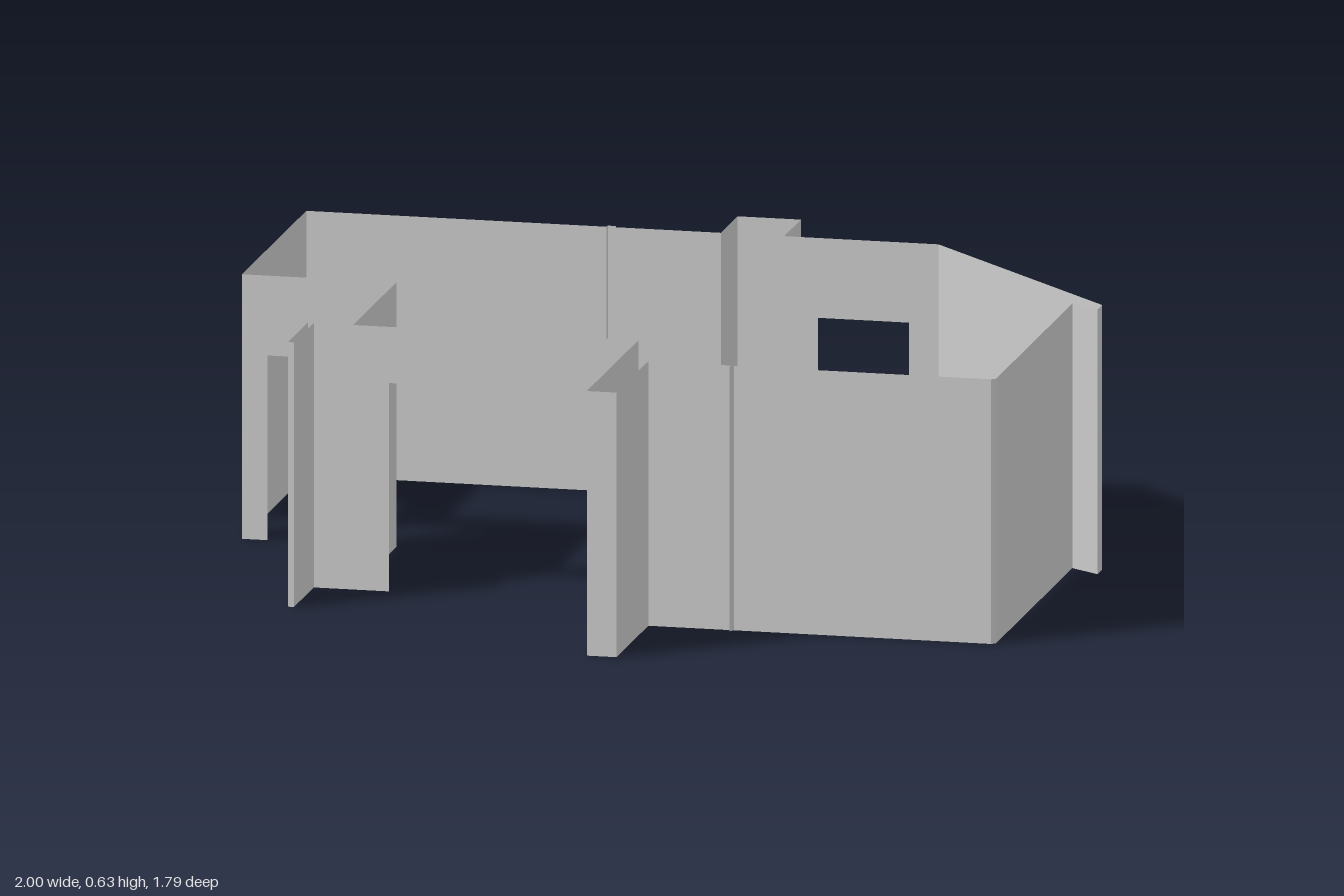
import * as THREE from 'three';

const H = 0.626;      // wall height
const DOOR = 0.437;   // door height
const BEAM = 0.493;   // underside of the wide lintel
const SILL = 0.155;   // top of the window sill

const material = new THREE.MeshStandardMaterial({
  color: 0xcccccc, side: THREE.DoubleSide, flatShading: true,
});

export function createModel() {
  const group = new THREE.Group();

  // Upright thin panel from plan point a to b; outline is [distance along wall, height]
  function panel(name, a, b, outline) {
    const dx = b[0] - a[0], dz = b[1] - a[1], len = Math.hypot(dx, dz);
    const pts = outline || [[0, 0], [len, 0], [len, H], [0, H]];
    const shape = new THREE.Shape(pts.map(([u, v]) => new THREE.Vector2(u, v)));
    const mesh = new THREE.Mesh(new THREE.ShapeGeometry(shape), material);
    mesh.name = name;
    mesh.position.set(a[0], 0, a[1]);
    mesh.rotation.y = -Math.atan2(dz, dx);
    group.add(mesh);
  }

  // Run of plain panels through a list of [x, z] plan points
  function run(name, points) {
    for (let i = 1; i < points.length; i++) panel(name, points[i - 1], points[i]);
  }

  // Panel with a doorway between distances s and e
  function doorWall(name, a, b, s, e) {
    const len = Math.hypot(b[0] - a[0], b[1] - a[1]);
    panel(name, a, b, [[0, 0], [s, 0], [s, DOOR], [e, DOOR], [e, 0], [len, 0], [len, H], [0, H]]);
  }

  // Front: pier, front wall with a slim fin, and the corner step
  run('frontWall', [
    [0.04, 0.897], [0.11, 0.897], [0.11, 0.572], [0.305, 0.572], [0.305, 0.585],
    [0.312, 0.572], [0.92, 0.572], [0.93, 0.565],
  ]);

  // Left side wall, its small return and the slanted corner
  run('leftWall', [[0.93, 0.565], [0.93, -0.215], [1, -0.168], [1, -0.216]]);
  run('slantedWall', [[1, -0.216], [0.495, -0.726]]);

  // Back: doorway, pier, and long wall with a slim pilaster
  doorWall('backDoorWall', [0.495, -0.726], [0.13, -0.726], 0.07, 0.285);
  run('backWall', [
    [0.13, -0.726], [0.13, -0.897], [-0.02, -0.897], [-0.02, -0.726], [-0.27, -0.726],
    [-0.27, -0.738], [-0.29, -0.738], [-0.29, -0.726], [-1, -0.726],
  ]);

  // Right side: two doorways around the recess, then the inner wall
  doorWall('rightDoorWall', [-1, -0.726], [-1, -0.07], 0.446, 0.596);
  doorWall('recessDoorWall', [-1, -0.07], [-0.635, -0.07], 0.06, 0.235);
  run('innerWall', [[-0.635, -0.07], [-0.635, 0.37]]);

  // Wide opening with its lintel and single jamb
  panel('lintelWall', [-0.735, 0.37], [0.04, 0.37],
    [[0, 0], [0.185, 0], [0.185, BEAM], [0.775, BEAM], [0.775, H], [0, H]]);

  // Thin wall stub beside the opening
  run('wallStub', [[-0.728, 0.37], [-0.728, 0.572], [-0.742, 0.572], [-0.742, 0.37]]);

  // Window wall, open at the corner between sill and header
  panel('windowWall', [0.04, 0.37], [0.04, 0.897], [
    [0, 0], [0.527, 0], [0.527, H], [0, H], [0, BEAM], [0.14, BEAM], [0.14, SILL], [0, SILL],
  ]);

  return group;
}
